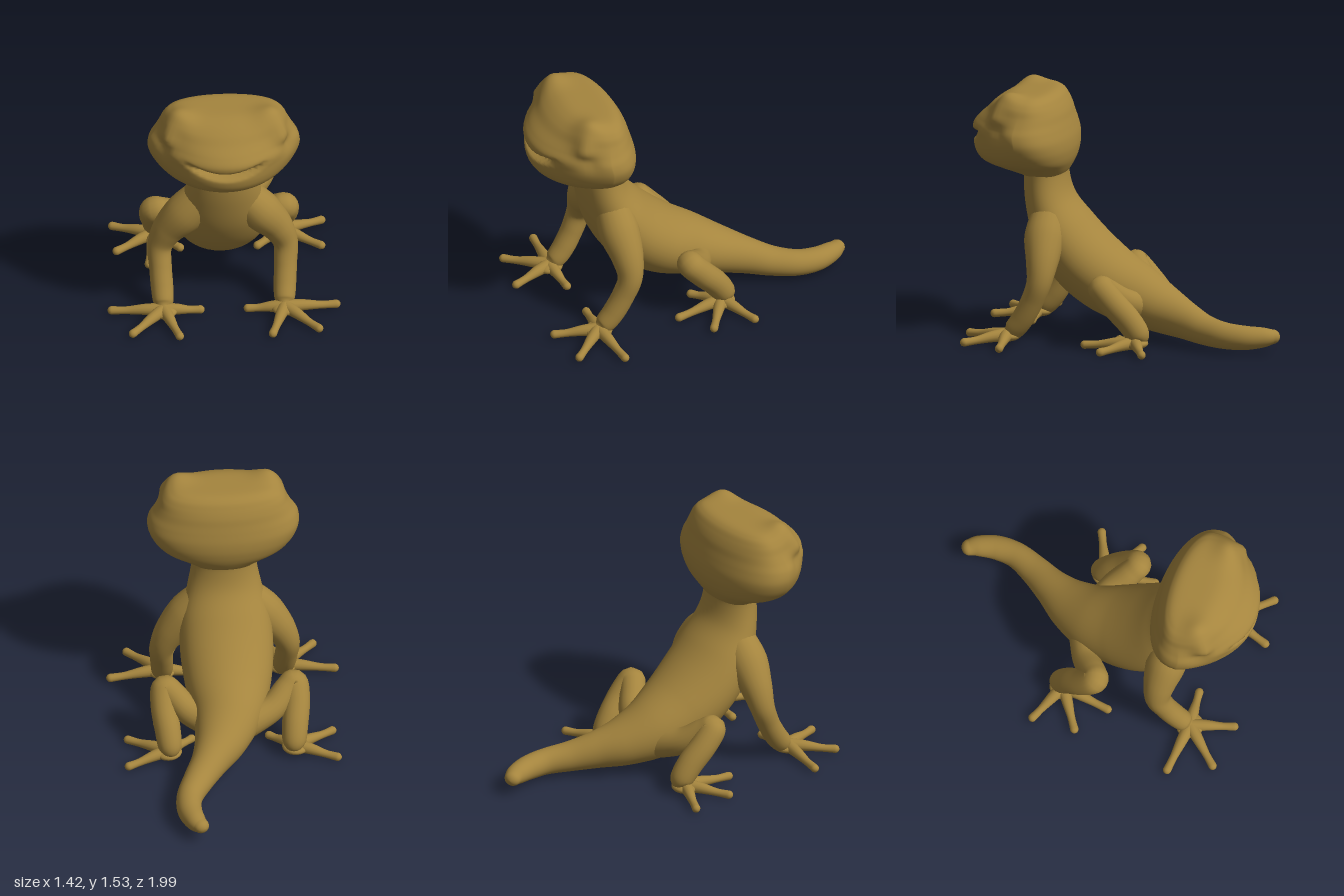
import * as THREE from 'three';

const skin = new THREE.MeshStandardMaterial({ color: 0xa5853e });
skin.name = 'ochre skin';

// Smooth interpolation of every column of a table, t from 0 to 1
function sample(rows, t) {
  const f = t * (rows.length - 1);
  const i = Math.min(Math.floor(f), rows.length - 2);
  const u = f - i;
  const at = (n) => rows[THREE.MathUtils.clamp(n, 0, rows.length - 1)];
  return rows[0].map((_, k) => {
    const [a, b, c, d] = [at(i - 1)[k], at(i)[k], at(i + 1)[k], at(i + 2)[k]];
    return b + 0.5 * u * (c - a + u * (2 * a - 5 * b + 4 * c - d + u * (3 * (b - c) + d - a)));
  });
}

// Smooth skin over a list of closed rings of Vector3
function skinRings(name, rings) {
  const n = rings[0].length, index = [];
  for (let i = 0; i < rings.length - 1; i++) {
    for (let j = 0; j < n; j++) {
      const a = i * n + j, b = i * n + (j + 1) % n;
      index.push(a, b, a + n, b, b + n, a + n);
    }
  }
  const geo = new THREE.BufferGeometry().setFromPoints(rings.flat());
  geo.setIndex(index);
  geo.computeVertexNormals();
  const mesh = new THREE.Mesh(geo, skin);
  mesh.name = name;
  return mesh;
}

// Round-ended limb through rows of [x, y, z, half width, half thickness]
function limb(name, rows, mirror = 1, steps = 8, sides = 20) {
  const pts = rows.map(([x, y, z, w, t = w]) => [x * mirror, y, z, w, t]);
  const count = (pts.length - 1) * steps;
  const secs = [];
  for (let i = 0; i <= count; i++) {
    const [x, y, z, w, t] = sample(pts, i / count);
    secs.push({ c: new THREE.Vector3(x, y, z), w, t });
  }
  let side = null;
  secs.forEach((s, i) => {
    const a = secs[Math.max(i - 1, 0)].c, b = secs[Math.min(i + 1, count)].c;
    s.dir = b.clone().sub(a).normalize();
    side = side || (Math.abs(s.dir.x) > 0.7 ? new THREE.Vector3(0, 0, 1) : new THREE.Vector3(1, 0, 0));
    side = side.clone().addScaledVector(s.dir, -side.dot(s.dir)).normalize();
    s.side = side;
    s.up = s.dir.clone().cross(side);
  });
  const ring = (s, scale, shift) => Array.from({ length: sides }, (_, j) => {
    const a = j / sides * Math.PI * 2;
    return s.c.clone().addScaledVector(s.dir, shift)
      .addScaledVector(s.side, Math.cos(a) * s.w * scale)
      .addScaledVector(s.up, Math.sin(a) * s.t * scale);
  });
  const first = secs[0], last = secs[count], rings = [];
  for (let k = 6; k > 0; k--) {
    const a = k / 6 * Math.PI / 2;
    rings.push(ring(first, Math.cos(a), -Math.sin(a) * first.t));
  }
  secs.forEach((s) => rings.push(ring(s, 1, 0)));
  for (let k = 1; k <= 6; k++) {
    const a = k / 6 * Math.PI / 2;
    rings.push(ring(last, Math.cos(a), Math.sin(a) * last.t));
  }
  return skinRings(name, rings);
}

// Head from level outlines: [y, back z, front z, half width, front pointedness]
function makeHead() {
  const rows = [
    [0.99, 0.43, 0.66, 0.17, 1], [1.02, 0.405, 0.76, 0.215, 1.1], [1.055, 0.385, 0.86, 0.29, 1.2],
    [1.09, 0.37, 0.935, 0.37, 1.3], [1.13, 0.36, 0.97, 0.415, 1.4], [1.18, 0.355, 0.985, 0.447, 1.5],
    [1.24, 0.36, 0.985, 0.464, 1.5], [1.30, 0.375, 0.99, 0.455, 1.5], [1.35, 0.39, 0.955, 0.425, 1.4],
    [1.40, 0.405, 0.90, 0.395, 1.1], [1.45, 0.43, 0.85, 0.37, 0.9], [1.49, 0.46, 0.79, 0.325, 0.8],
    [1.512, 0.51, 0.72, 0.24, 0.8], [1.515, 0.61, 0.61, 0, 0.8],
  ];
  const bump = (p, x, y, z, r) =>
    Math.exp(-((Math.abs(p.x) - x) ** 2 + (p.y - y) ** 2 + (p.z - z) ** 2) / (r * r));
  const rings = [], steps = 110, sides = 72;
  for (let i = 0; i <= steps; i++) {
    const [y, back, front, w, point] = sample(rows, i / steps);
    const mid = THREE.MathUtils.lerp(back, front, 0.42);
    rings.push(Array.from({ length: sides }, (_, j) => {
      const a = j / sides * Math.PI * 2, c = Math.cos(a);
      const z = c > 0 ? mid + (front - mid) * c ** point : mid - (mid - back) * (-c) ** 0.8;
      const p = new THREE.Vector3(Math.sin(a) * w, y, z);
      const sx = Math.sign(p.x);
      // smiling mouth crease
      const lip = 1.228 + 1.1 * p.x * p.x;
      const groove = 0.07 * Math.exp(-(((y - lip) / 0.017) ** 2))
        * (c > 0 ? 1 - THREE.MathUtils.smoothstep(Math.abs(p.x), 0.1, 0.28) : 0);
      // brow crests, bulging eyes and the hollows below them
      const brow = bump(p, 0.28, 1.48, 0.72, 0.09);
      const eye = bump(p, 0.35, 1.39, 0.77, 0.06);
      const hollow = bump(p, 0.40, 1.325, 0.77, 0.06);
      p.x += sx * (0.03 * eye - 0.02 * hollow + 0.01 * brow);
      p.y += 0.045 * brow;
      p.z += 0.03 * eye - 0.02 * hollow - groove;
      return p;
    }));
  }
  return skinRings('head', rings);
}

// Foot: flat pad with toes ending in small bulbs
function addFoot(parent, name, x, z, tips, s) {
  const pad = new THREE.Mesh(new THREE.SphereGeometry(1, 24, 14), skin);
  pad.name = name + 'Pad';
  pad.scale.set(0.085, 0.036, 0.085);
  pad.position.set(x * s, 0.05, z);
  parent.add(pad);
  tips.forEach(([tx, tz]) => {
    const on = (k) => [x + (tx - x) * k, z + (tz - z) * k];
    const row = (k, y, r) => [on(k)[0], y, on(k)[1], r, r];
    parent.add(limb(name + 'Toe', [
      row(0, 0.055, 0.042), row(0.33, 0.05, 0.034), row(0.65, 0.038, 0.024), row(0.9, 0.034, 0.026),
    ], s, 5, 14));
  });
}

export function createModel() {
  const model = new THREE.Group();
  model.name = 'lizard';

  // Neck, trunk and curling tail in one sweep
  model.add(limb('bodyAndTail', [
    [0, 1.15, 0.53, 0.2, 0.13], [0, 0.99, 0.54, 0.198, 0.135], [0, 0.82, 0.51, 0.23, 0.152],
    [0, 0.65, 0.43, 0.275, 0.19], [0, 0.49, 0.31, 0.285, 0.212], [0.005, 0.36, 0.15, 0.265, 0.21],
    [0.02, 0.265, -0.04, 0.218, 0.188], [0.075, 0.2, -0.22, 0.165, 0.148], [0.155, 0.157, -0.38, 0.115, 0.115],
    [0.235, 0.125, -0.52, 0.093, 0.093], [0.297, 0.11, -0.66, 0.08, 0.082], [0.307, 0.105, -0.79, 0.075, 0.075],
    [0.28, 0.108, -0.9, 0.064, 0.062], [0.25, 0.11, -0.955, 0.05, 0.045],
  ], 1, 8, 40));

  model.add(makeHead());

  for (const s of [1, -1]) {
    const side = s > 0 ? 'left' : 'right';

    const front = new THREE.Group();
    front.name = side + 'FrontLeg';
    front.add(limb('arm', [
      [0.12, 0.76, 0.49, 0.11], [0.23, 0.635, 0.49, 0.125], [0.33, 0.51, 0.48, 0.1], [0.383, 0.39, 0.485, 0.077],
      [0.382, 0.27, 0.53, 0.07], [0.375, 0.16, 0.59, 0.069], [0.37, 0.085, 0.65, 0.062], [0.37, 0.06, 0.69, 0.035],
    ], s));
    addFoot(front, 'hand', 0.37, 0.69, [[0.72, 0.65], [0.59, 0.93], [0.275, 0.975], [0.12, 0.67]], s);
    model.add(front);

    const hind = new THREE.Group();
    hind.name = side + 'HindLeg';
    hind.add(limb('foldedLeg', [
      [0.1, 0.22, -0.08, 0.1], [0.25, 0.27, -0.02, 0.085], [0.35, 0.35, 0.06, 0.08], [0.398, 0.374, 0.085, 0.082],
      [0.405, 0.29, 0.01, 0.082], [0.39, 0.19, -0.08, 0.08], [0.38, 0.1, -0.14, 0.072], [0.38, 0.065, -0.145, 0.045],
    ], s));
    addFoot(hind, 'foot', 0.39, -0.12, [[0.665, -0.245], [0.65, 0.05], [0.44, 0.215], [0.22, 0.03]], s);
    model.add(hind);
  }
  return model;
}
